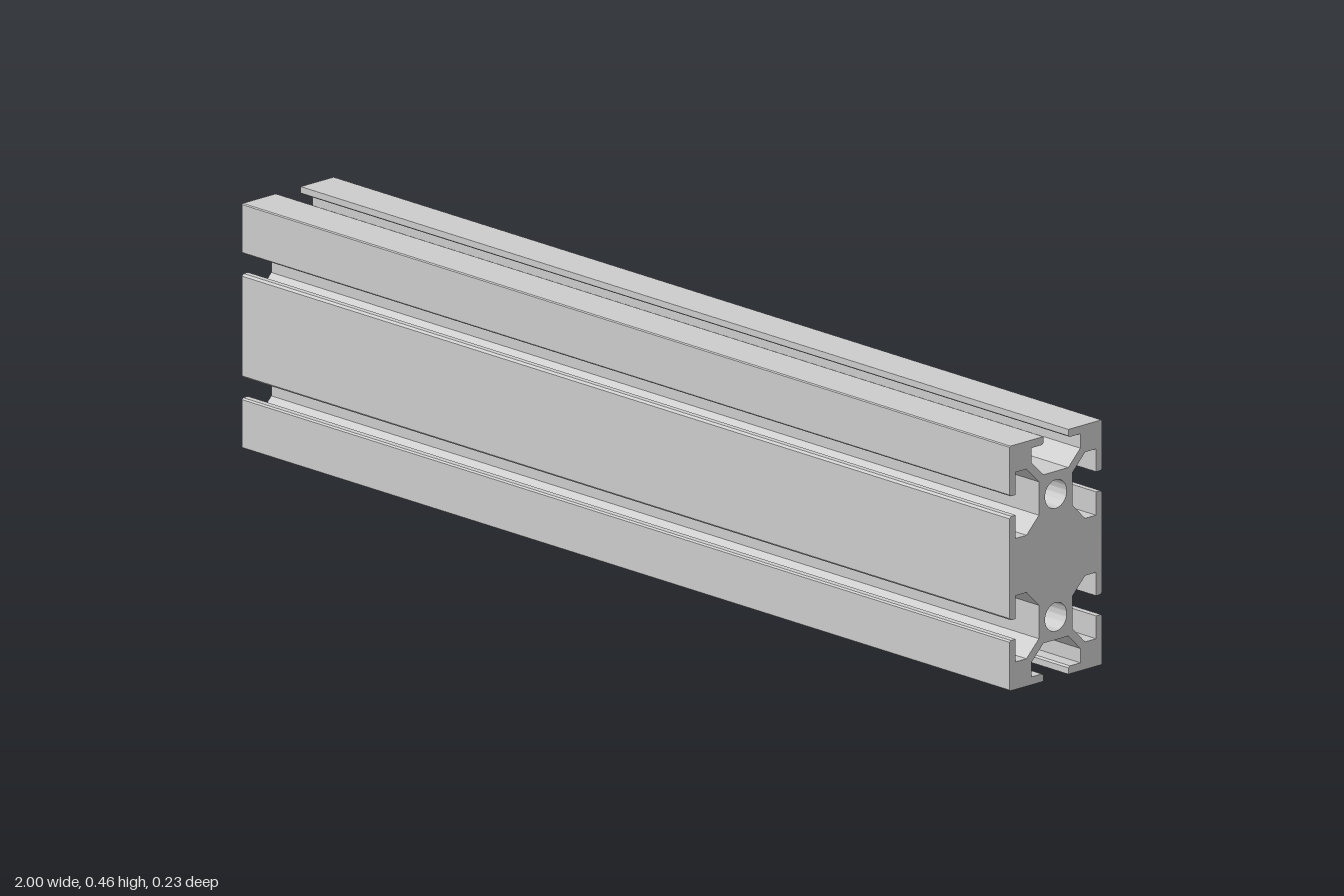
import * as THREE from 'three';
import { toCreasedNormals } from 'three/addons/utils/BufferGeometryUtils.js';

const LENGTH = 2, HALF_HEIGHT = 0.231, HOLE_OFFSET = 0.116, HOLE_RADIUS = 0.027;

// One quarter of the cross-section, from the side web up to the top slot floor
const quarter = [
  // side T-slot
  [0.115, 0.094], [0.111, 0.098], [0.1, 0.098], [0.1, 0.054], [0.073, 0.054],
  [0.042, 0.085], [0.042, 0.148], [0.073, 0.179], [0.1, 0.179], [0.1, 0.136],
  [0.112, 0.136], [0.115, 0.139],
  // outer corner
  [0.115, 0.229], [0.113, 0.231],
  // half of the end T-slot
  [0.031, 0.231], [0.031, 0.219], [0.035, 0.216], [0.061, 0.216],
  [0.061, 0.189], [0.031, 0.159],
];

function createProfile() {
  const flip = (sx, sy) => quarter.map(([x, y]) => new THREE.Vector2(x * sx, y * sy));
  const outline = [
    ...flip(1, 1), ...flip(-1, 1).reverse(),
    ...flip(-1, -1), ...flip(1, -1).reverse(),
  ];
  const shape = new THREE.Shape(outline);
  // core bores
  for (const side of [1, -1]) {
    shape.holes.push(new THREE.Path().absarc(0, side * HOLE_OFFSET, HOLE_RADIUS, 0, Math.PI * 2, true));
  }
  return shape;
}

export function createModel() {
  const group = new THREE.Group();
  group.name = 'slottedRail';

  // extruded along x
  const geometry = new THREE.ExtrudeGeometry(createProfile(), {
    depth: LENGTH, bevelEnabled: false, curveSegments: 24,
  });
  geometry.translate(0, 0, -LENGTH / 2);
  geometry.rotateY(Math.PI / 2);
  geometry.translate(0, HALF_HEIGHT, 0);

  const rail = new THREE.Mesh(
    toCreasedNormals(geometry, 0.5),
    new THREE.MeshStandardMaterial({ color: 0xcccccc })
  );
  rail.name = 'extrudedRail';
  group.add(rail);
  return group;
}
